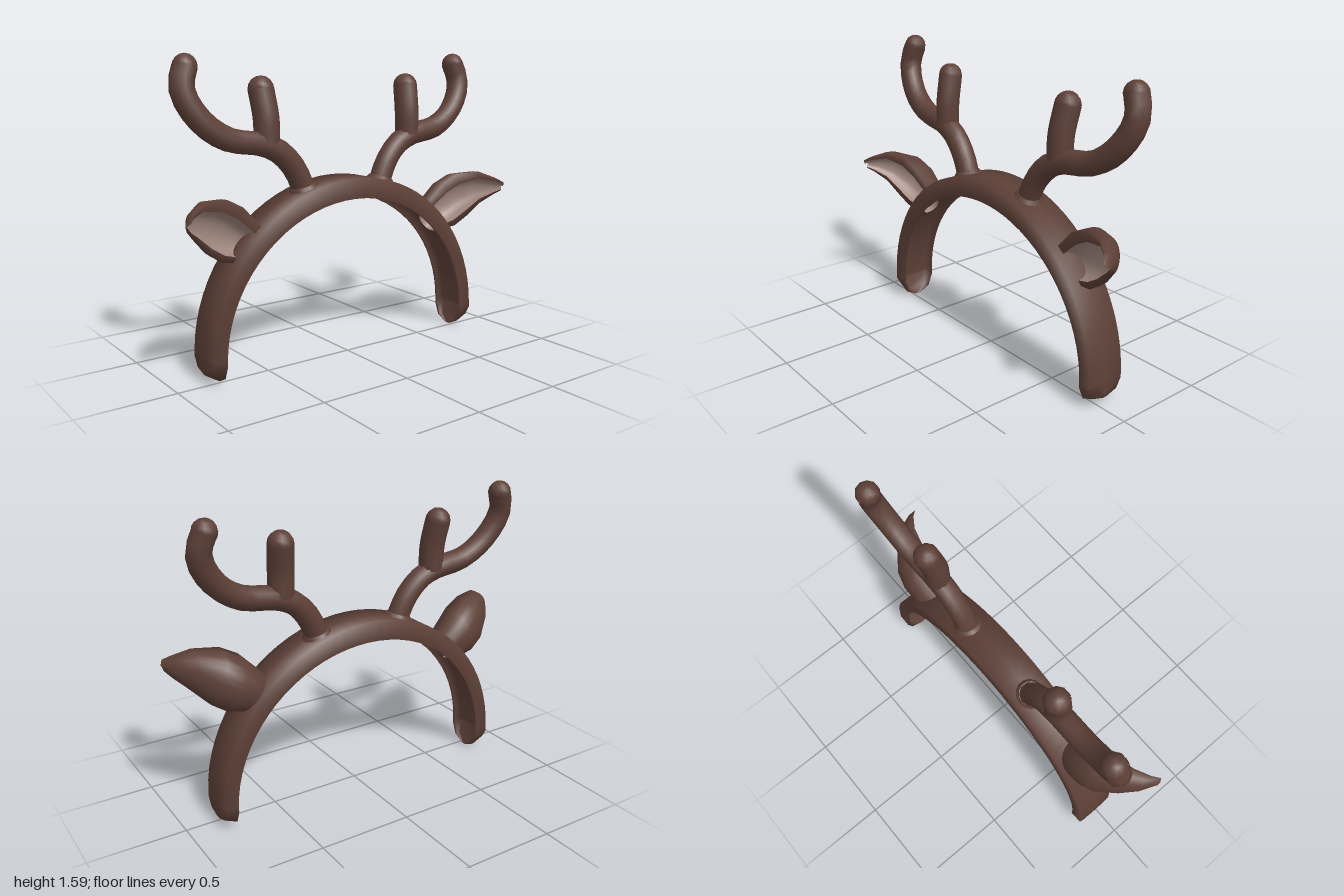
import * as THREE from 'three';

const brown = new THREE.MeshStandardMaterial({ color: 0x5d4037 });
brown.name = 'brown felt';
const pale = new THREE.MeshStandardMaterial({ color: 0xa1887f, side: THREE.DoubleSide });
pale.name = 'pale inner ear';

// Skin a list of equal-length cross-sections; optional closed rings with end caps
function loft(rings, { closed = false, caps = false, flip = false } = {}) {
  const n = rings[0].length, pos = rings.flat(2), index = [];
  const tri = (a, b, c) => (flip ? index.push(a, c, b) : index.push(a, b, c));
  for (let i = 0; i < rings.length - 1; i++) {
    for (let j = 0; j < (closed ? n : n - 1); j++) {
      const k = (j + 1) % n, a = i * n + j, b = a + n, c = (i + 1) * n + k, d = i * n + k;
      tri(a, b, d);
      tri(b, c, d);
    }
  }
  if (caps) {
    for (const end of [0, rings.length - 1]) {
      const ring = rings[end], centre = pos.length / 3;
      for (let ax = 0; ax < 3; ax++) pos.push(ring.reduce((s, p) => s + p[ax], 0) / n);
      for (let j = 0; j < n; j++) {
        const a = end * n + j, b = end * n + (j + 1) % n;
        if (end) tri(centre, b, a); else tri(centre, a, b);
      }
    }
  }
  const geo = new THREE.BufferGeometry();
  geo.setAttribute('position', new THREE.Float32BufferAttribute(pos, 3));
  geo.setIndex(index);
  geo.computeVertexNormals();
  return geo;
}

function part(name, geo, material = brown) {
  const mesh = new THREE.Mesh(geo, material);
  mesh.name = name;
  return mesh;
}

// Headband: channel section swept over an arch, tapering to rounded ends
function headband() {
  const zc = -0.032, cy = 0.12, halfWidth = 0.1085;
  const section = (o, i, w, recess) => {
    const at = (t, z) => [o[0] + (i[0] - o[0]) * t, o[1] + (i[1] - o[1]) * t, zc + z];
    const floor = 1 - 0.6 * recess, wall = Math.min(0.02, w * 0.3);
    return [
      at(0, -w), at(0, 0), at(0, w), at(1, w), at(1, w - wall),
      at(floor, w - wall), at(floor, -w + wall), at(1, -w + wall), at(1, -w),
    ];
  };
  // outer height, inner height, half width, recess
  const ends = [[0.046, 0.003, 0.015, 0], [0.066, 0.035, 0.08, 0.5], [0.115, 0.105, halfWidth, 1]];
  const end = (s) => ends.map(([yo, yi, w, r]) => section([s * 0.84, yo], [s * 0.77, yi], w, r));
  const arch = [];
  for (let k = 0; k <= 36; k++) {
    const a = 0.02 + (Math.PI - 0.04) * k / 36, c = Math.cos(a), s = Math.sin(a);
    arch.push(section([0.84 * c, cy + 0.837 * s], [0.77 * c, cy + 0.73 * s], halfWidth, 1));
  }
  return part('headband', loft([...end(1), ...arch, ...end(-1).reverse()], { closed: true, caps: true }));
}

// Round branch with a domed tip
function branch(name, points, radius, side) {
  const group = new THREE.Group();
  group.name = name;
  const path = points.map(([x, y, z]) => new THREE.Vector3(side * x, y, z));
  group.add(part(name + 'Stem', new THREE.TubeGeometry(new THREE.CatmullRomCurve3(path), 18, radius, 10)));
  const tip = part(name + 'Tip', new THREE.SphereGeometry(radius, 10, 8));
  tip.position.copy(path[path.length - 1]);
  group.add(tip);
  return group;
}

function antler(side) {
  const group = new THREE.Group();
  group.name = side > 0 ? 'leftAntler' : 'rightAntler';
  group.add(branch('beam', [
    [0.235, 0.88, -0.04], [0.30, 1.02, -0.045], [0.385, 1.11, -0.05], [0.48, 1.152, -0.055], [0.66, 1.185, -0.062],
    [0.78, 1.26, -0.073], [0.86, 1.37, -0.093], [0.877, 1.45, -0.108], [0.85, 1.535, -0.122],
  ], 0.061, side));
  group.add(branch('tine', [[0.453, 1.155, -0.055], [0.453, 1.28, -0.06], [0.463, 1.422, -0.088]], 0.066, side));
  // Low flare where the antler meets the band
  const flare = part('flare', new THREE.CylinderGeometry(0.064, 0.092, 0.04, 14));
  flare.position.set(side * 0.25, 0.915, -0.04);
  flare.rotation.z = -side * 0.3;
  group.add(flare);
  return group;
}

// Cupped ear: stations from root to tip [topX, topY, bottomX, bottomY, rim z, back z]
const earStations = [
  [0.505, 0.725, 0.622, 0.575, 0.02, -0.10],
  [0.57, 0.79, 0.69, 0.597, 0.03, -0.12],
  [0.65, 0.87, 0.76, 0.61, 0.045, -0.125],
  [0.74, 0.917, 0.83, 0.655, 0.06, -0.105],
  [0.87, 0.925, 0.91, 0.735, 0.095, -0.025],
  [0.95, 0.89, 0.965, 0.785, 0.145, 0.058],
  [0.988, 0.863, 0.99, 0.812, 0.182, 0.125],
  [1.0, 0.838, 1.0, 0.838, 0.17, 0.15],
];

function ear(side) {
  const group = new THREE.Group();
  group.name = side > 0 ? 'leftEar' : 'rightEar';
  const shell = [], lining = [];
  for (const [tx, ty, bx, by, rim, back] of earStations) {
    // the lower edge sits a little further back than the upper one
    const at = (t, depth) => [
      side * (tx + (bx - tx) * t), ty + (by - ty) * t, rim + (back - rim) * depth - 0.022 * t * (1 - depth),
    ];
    const outer = [], inner = [];
    for (let k = 0; k <= 12; k++) {
      const a = Math.PI * k / 12, t = (1 - Math.cos(a)) / 2;
      const depth = Math.max(0, Math.sin(a)) ** 0.7;
      outer.push(at(t, depth));
      inner.push(at(0.87 - 0.65 * t, 0.6 * depth));
    }
    shell.push([inner[12], ...outer, inner[0]]);
    lining.push(inner);
  }
  group.add(part('earShell', loft(shell, { flip: side < 0 })));
  group.add(part('earLining', loft(lining, { flip: side < 0 }), pale));
  return group;
}

export function createModel() {
  const model = new THREE.Group();
  model.name = 'antlerHeadband';
  model.add(headband());
  for (const side of [1, -1]) model.add(antler(side), ear(side));
  return model;
}
